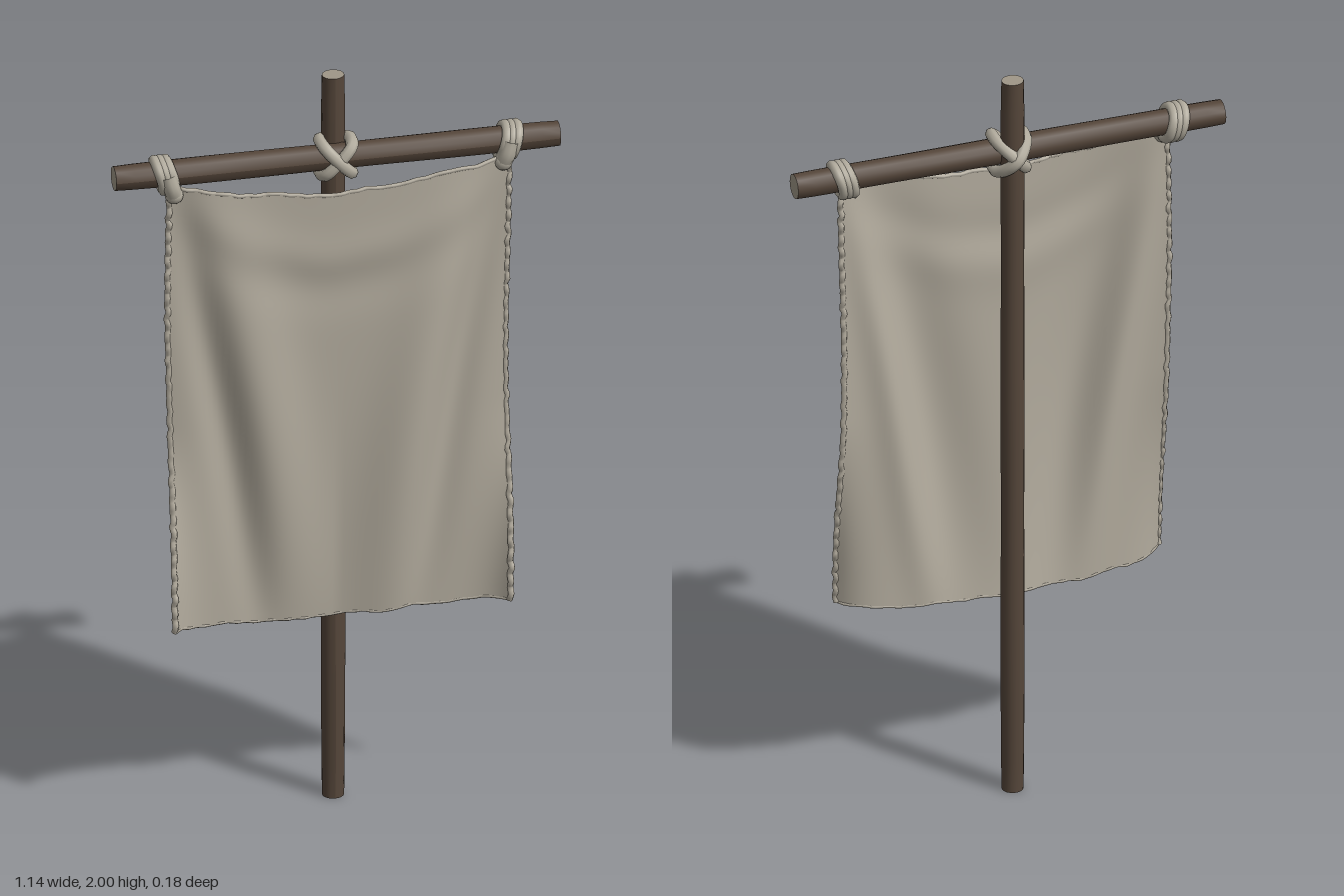
import * as THREE from 'three';

const wood = new THREE.MeshStandardMaterial({ color: 0x55463a });
wood.name = 'dark wood';
const endGrain = new THREE.MeshStandardMaterial({ color: 0xa09788 });
endGrain.name = 'pale end grain';
const cloth = new THREE.MeshStandardMaterial({ color: 0xb3ac9e });
cloth.name = 'linen cloth';
const rope = new THREE.MeshStandardMaterial({ color: 0xb2ac9e });
rope.name = 'pale rope';

const BAR_Y = 1.789;
const BAR_Z = -0.003;
const V = (x, y, z) => new THREE.Vector3(x, y, z);
const bump = (x, c, w) => Math.exp(-(((x - c) / w) ** 2));

function add(group, name, geometry, material) {
  const mesh = new THREE.Mesh(geometry, material);
  mesh.name = name;
  group.add(mesh);
  return mesh;
}

// Hand-cut round timber: radius drifts a little along its length
function timber(radius, length) {
  const g = new THREE.CylinderGeometry(radius, radius, length, 14, 24);
  const p = g.attributes.position;
  for (let i = 0; i < p.count; i++) {
    const y = p.getY(i);
    const angle = Math.atan2(p.getZ(i), p.getX(i));
    const end = 1 - 0.06 * Math.pow(Math.abs(y) / (length / 2), 12);
    const k = end * (1 + 0.02 * Math.sin(y * 9 + angle * 2));
    p.setX(i, p.getX(i) * k);
    p.setZ(i, p.getZ(i) * k);
  }
  g.computeVertexNormals();
  return g;
}

// Cloth surface: x from u (-1..1), y from t (0 top .. 1 bottom), depth from folds
function clothPoint(u, t) {
  const a = Math.abs(u);
  const top = 1.708 + 0.05 * Math.pow(a, 1.4) + 0.003 * Math.sin(u * 13);
  const bottom = 0.525 + 0.025 * a * a + 0.002 * Math.sin(u * 17);
  const y = top + (bottom - top) * t;
  const x = u * (0.435 - 0.006 * t + 0.003 * Math.sin(t * 9 + u));
  let z = 0.025 + 0.024 * (1 - a * a) * (1 - t);
  // long valleys running from the top corners, with a broad ridge inside each
  const valley = 0.97 - 0.5 * Math.pow(t, 0.85);
  const strength = Math.sin(Math.PI * Math.min(1, t * 0.85 + 0.06));
  z -= 0.03 * strength * bump(a, valley, 0.12);
  z += 0.034 * strength * bump(a, valley - 0.24, 0.22);
  // soft swags hanging between the corners
  const sag = t - 0.13 * (1 - a * a);
  z += 0.006 * (1 - a * a) * (bump(sag, 0.02, 0.05) - bump(sag, 0.09, 0.06));
  // side edges lie back, the middle settles on the pole, lower corners curl forward
  z -= 0.01 * Math.pow(a, 6) * Math.sin(Math.PI * t);
  z -= 0.022 * t * t * bump(a, 0, 0.35);
  z += 0.056 * Math.pow(a, 9) * THREE.MathUtils.smoothstep(t, 0.55, 0.97);
  return V(x, y, Math.max(z, 0.003));
}

function clothSheet() {
  const g = new THREE.BoxGeometry(2, 1, 0.008, 64, 64, 1);
  const p = g.attributes.position;
  for (let i = 0; i < p.count; i++) {
    const q = clothPoint(p.getX(i), 0.5 - p.getY(i));
    p.setXYZ(i, q.x, q.y, q.z + p.getZ(i));
  }
  g.computeVertexNormals();
  return g;
}

// Ragged rolled hem that follows one edge of the cloth
function hem(edge, count, radius, wobble) {
  const points = [];
  for (let i = 0; i <= count; i++) {
    const q = edge(i / count);
    q.x += wobble * Math.sin(i * 2.3) * Math.sin(i * 0.37);
    q.y += wobble * Math.sin(i * 1.7) * Math.cos(i * 0.53);
    q.z += wobble * Math.cos(i * 3.1);
    points.push(q);
  }
  return new THREE.TubeGeometry(new THREE.CatmullRomCurve3(points), count * 2, radius, 6);
}

function ropeLoop(points, radius) {
  const curve = new THREE.CatmullRomCurve3(points, true);
  return new THREE.TubeGeometry(curve, 48, radius, 8, true);
}

export function createModel() {
  const model = new THREE.Group();
  model.name = 'clothBanner';

  // Upright pole and crossbar, with pale cut ends
  add(model, 'pole', timber(0.03, 2), [wood, endGrain, wood]).position.set(0, 1, -0.036);
  const bar = add(model, 'crossbar', timber(0.034, 1.14), [wood, endGrain, endGrain]);
  bar.rotation.z = Math.PI / 2;
  bar.position.set(0, BAR_Y, BAR_Z);

  // Hanging cloth and its hems
  add(model, 'cloth', clothSheet(), cloth);
  for (const s of [-1, 1]) {
    add(model, s > 0 ? 'leftHem' : 'rightHem', hem((t) => clothPoint(s, t), 70, 0.008, 0.003), cloth);
  }
  add(model, 'bottomHem', hem((t) => clothPoint(t * 2 - 1, 1), 40, 0.005, 0.002), cloth);
  add(model, 'topHem', hem((t) => clothPoint(t * 2 - 1, 0), 40, 0.006, 0.002), cloth);

  // Thick rope bands tying the top corners to the bar, leaning in at the bottom
  for (const s of [-1, 1]) {
    const tie = new THREE.Group();
    tie.name = s > 0 ? 'leftTie' : 'rightTie';
    model.add(tie);
    for (const offset of [0.454, 0.44, 0.426]) {
      const points = [];
      for (let i = 0; i < 12; i++) {
        const a = (i / 12) * Math.PI * 2;
        const drop = Math.sin(a) < 0 ? 0.043 : 0.035;
        points.push(V(s * (offset + 0.01 * Math.sin(a)), BAR_Y + drop * Math.sin(a), BAR_Z + 0.037 * Math.cos(a)));
      }
      add(tie, 'tieLoop', ropeLoop(points, 0.014), rope);
    }
    // gathered tail running into the cloth corner
    const tail = new THREE.CatmullRomCurve3([
      V(s * 0.44, 1.8, 0.032), V(s * 0.43, 1.765, 0.034), V(s * 0.422, 1.742, 0.027),
    ]);
    add(tie, 'tieTail', new THREE.TubeGeometry(tail, 10, 0.022, 10), rope);
    const knot = add(tie, 'tieKnot', new THREE.SphereGeometry(0.024, 12, 8), rope);
    knot.position.set(s * 0.422, 1.742, 0.026);
  }

  // Crossed lashing where the bar meets the pole
  const lashing = new THREE.Group();
  lashing.name = 'lashing';
  model.add(lashing);
  for (const s of [-1, 1]) {
    add(lashing, 'lashingLoop', ropeLoop([
      V(0, BAR_Y, 0.04 + s * 0.003),
      V(s * 0.033, BAR_Y - 0.036, 0.026),
      V(s * 0.037, BAR_Y - 0.043, -0.03),
      V(0, BAR_Y, -0.072 - s * 0.003),
      V(-s * 0.037, BAR_Y + 0.038, -0.03),
      V(-s * 0.033, BAR_Y + 0.035, 0.026),
    ], 0.016), rope);
  }
  return model;
}
